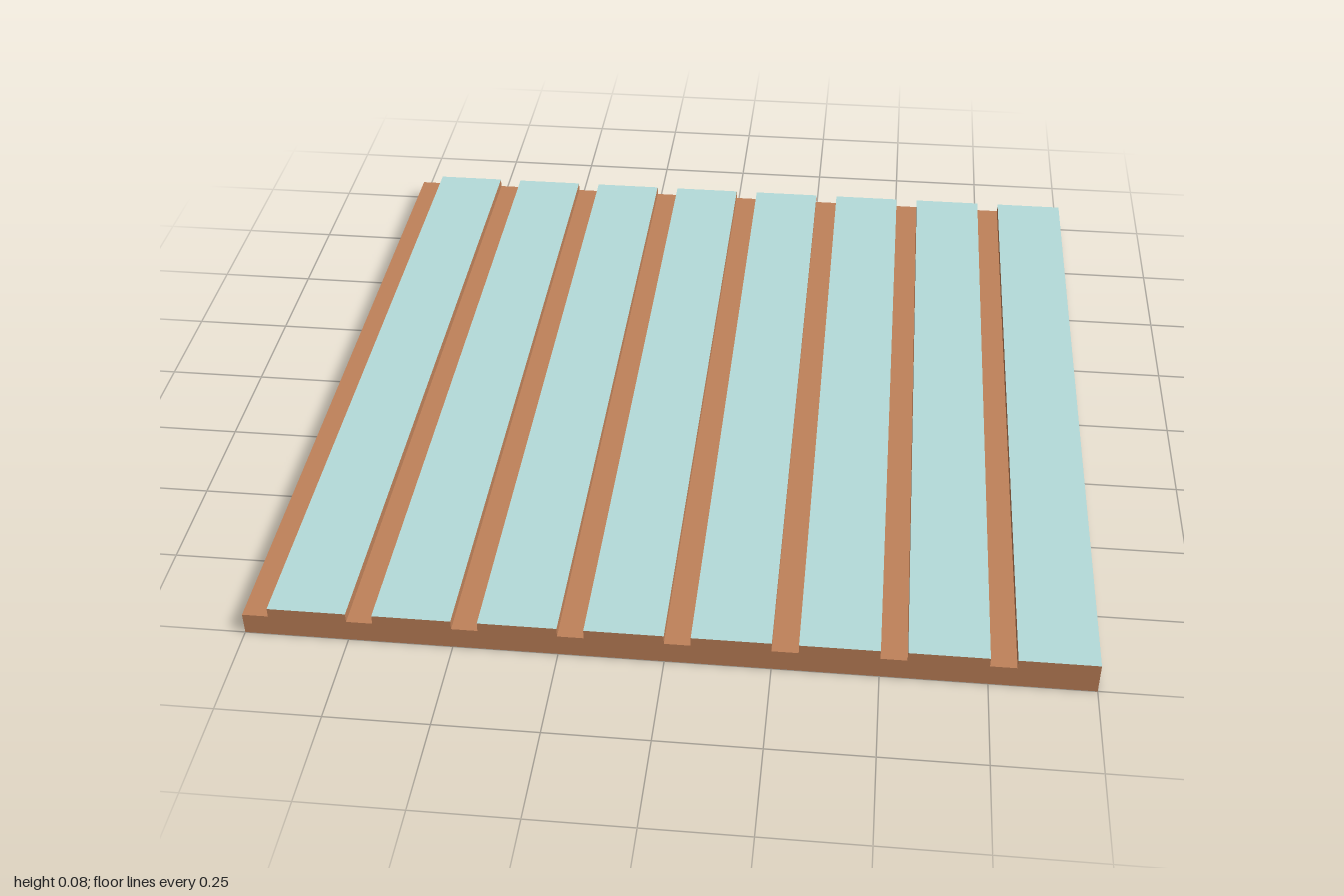
import * as THREE from 'three';

const COUNT = 8, PITCH = 0.25, GROOVE = 0.0625;
const TOP = 0.08, FLOOR = 0.056;

// Keeps only the triangles whose three corners pass the test
function pickTriangles(geometry, test) {
  const p = geometry.attributes.position, kept = [];
  for (let i = 0; i < p.count; i += 3) {
    const corners = [0, 1, 2].map(k => new THREE.Vector3().fromBufferAttribute(p, i + k));
    if (test(corners)) corners.forEach(c => kept.push(c.x, c.y, c.z));
  }
  const result = new THREE.BufferGeometry();
  result.setAttribute('position', new THREE.Float32BufferAttribute(kept, 3));
  result.computeVertexNormals();
  return result;
}

export function createModel() {
  const group = new THREE.Group();
  group.name = 'groovedPanel';

  // Cross-section: each strip is a groove followed by a raised slat
  const profile = new THREE.Shape();
  profile.moveTo(-1, 0);
  profile.lineTo(1, 0);
  for (let i = COUNT - 1; i >= 0; i--) {
    const x = -1 + i * PITCH;
    profile.lineTo(x + PITCH, TOP);
    profile.lineTo(x + GROOVE, TOP);
    profile.lineTo(x + GROOVE, FLOOR);
    profile.lineTo(x, FLOOR);
  }
  profile.closePath();

  const extruded = new THREE.ExtrudeGeometry(profile, { depth: 2, bevelEnabled: false });
  extruded.translate(0, 0, -1);
  const solid = extruded.index ? extruded.toNonIndexed() : extruded;

  // The slat tops are the only faces lying wholly at full height and spanning z
  const isTop = corners => corners.every(c => c.y > TOP - 1e-4);

  const board = new THREE.Mesh(
    pickTriangles(solid, c => !isTop(c)),
    new THREE.MeshStandardMaterial({ color: 0xbf8159 })
  );
  board.name = 'woodenBoard';

  const tops = new THREE.Mesh(
    pickTriangles(solid, isTop),
    new THREE.MeshStandardMaterial({ color: 0xb4dbd9 })
  );
  tops.name = 'paintedSlatTops';

  group.add(board, tops);
  return group;
}
